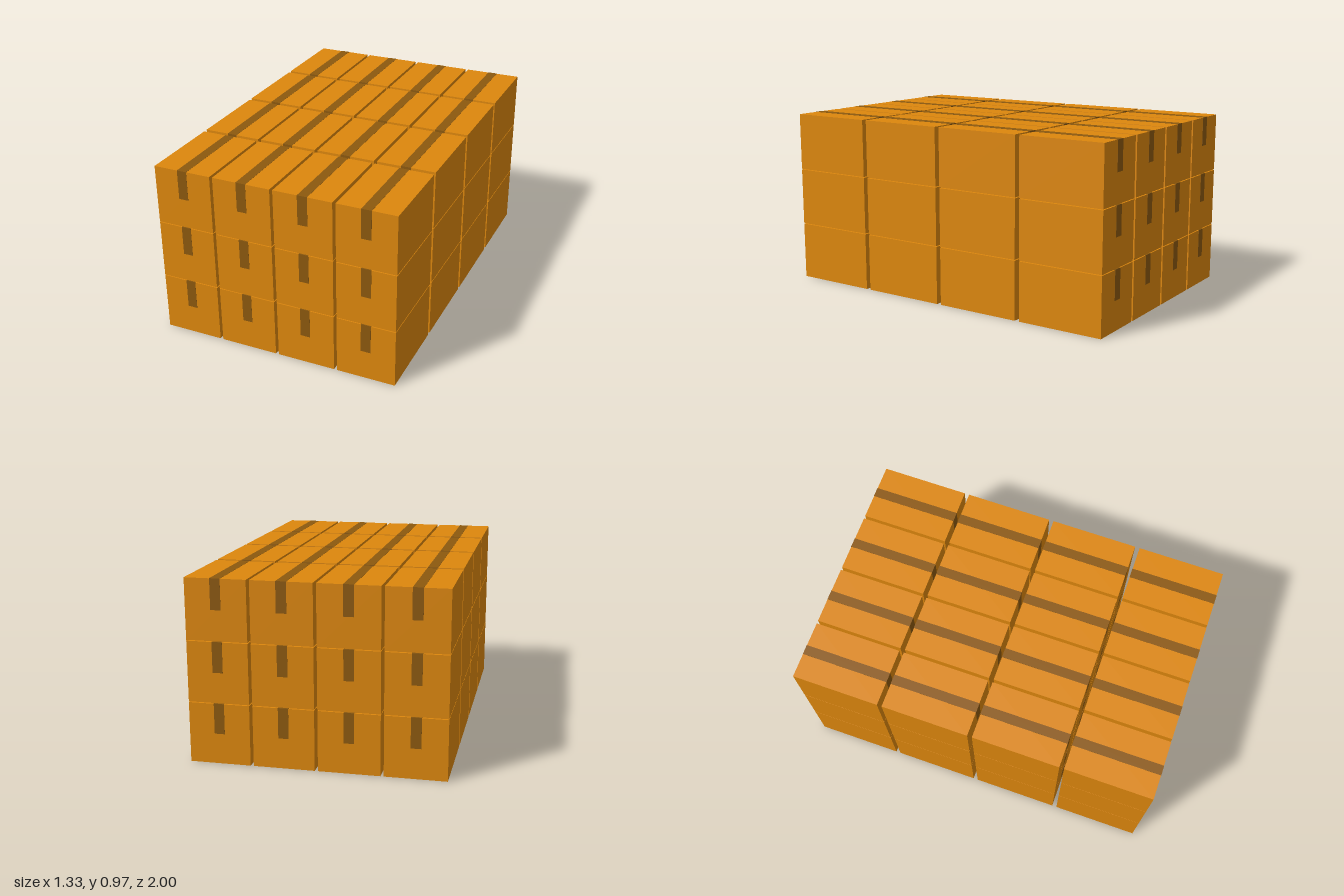
import * as THREE from 'three';

const W = 0.321, H = 0.32, D = 0.48;              // one carton
const PITCH_X = 0.3375, PITCH_Y = 0.3245, PITCH_Z = 0.506;
const TAPE_W = 0.054, TAPE_DROP = 0.16, TAPE_T = 0.001;

// Tape: a thin strip over the top, hanging halfway down the front and back
function tapeGeometry() {
  const i = D / 2, o = i + TAPE_T, low = H - TAPE_DROP, top = H + TAPE_T;
  const outline = [[-o, low], [-i, low], [-i, H], [i, H], [i, low], [o, low], [o, top], [-o, top]];
  const shape = new THREE.Shape(outline.map(([x, y]) => new THREE.Vector2(x, y)));
  const geometry = new THREE.ExtrudeGeometry(shape, { depth: TAPE_W, bevelEnabled: false });
  return geometry.translate(0, 0, -TAPE_W / 2).rotateY(Math.PI / 2);
}

export function createModel() {
  const model = new THREE.Group();
  model.name = 'cartonStack';

  const cardboard = new THREE.MeshStandardMaterial({ color: 0xdd870d });
  const tapeBrown = new THREE.MeshStandardMaterial({ color: 0x8c590e });
  const boxGeo = new THREE.BoxGeometry(W, H, D).translate(0, H / 2, 0);
  const tapeGeo = tapeGeometry();

  // Stack: 4 across, 3 high, 4 deep
  for (let y = 0; y < 3; y++) {
    for (let z = 0; z < 4; z++) {
      for (let x = 0; x < 4; x++) {
        const carton = new THREE.Group();
        carton.name = 'carton';
        const box = new THREE.Mesh(boxGeo, cardboard);
        box.name = 'cardboardBox';
        const tape = new THREE.Mesh(tapeGeo, tapeBrown);
        tape.name = 'packingTape';
        carton.add(box, tape);
        carton.position.set((x - 1.5) * PITCH_X, y * PITCH_Y, (z - 1.5) * PITCH_Z);
        model.add(carton);
      }
    }
  }
  return model;
}
